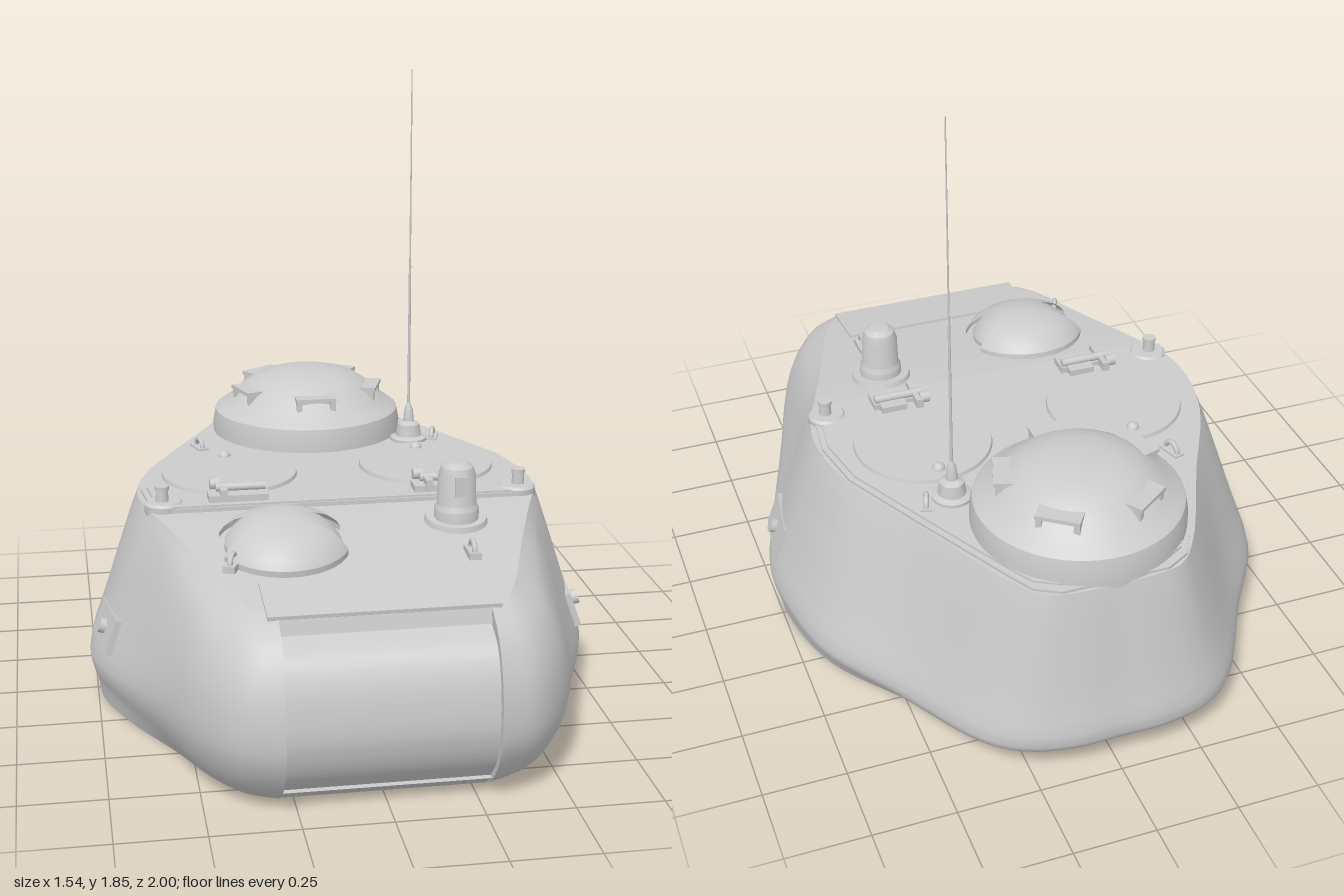
import * as THREE from 'three';
import { toCreasedNormals } from 'three/addons/utils/BufferGeometryUtils.js';

const mat = new THREE.MeshStandardMaterial({ color: 0xcccccc });
const V = (x, y, z) => new THREE.Vector3(x, y, z);
const roofY = (z) => (z < 0.18 ? 0.622 : 0.622 - (z - 0.18) * 0.13);

function add(parent, name, geo, x = 0, y = 0, z = 0, rx = 0, ry = 0, rz = 0) {
  const m = new THREE.Mesh(geo, mat);
  m.name = name;
  m.position.set(x, y, z);
  m.rotation.set(rx, ry, rz);
  parent.add(m);
  return m;
}
const box = (w, h, d) => new THREE.BoxGeometry(w, h, d);
const cyl = (r1, r2, h, n = 24) => new THREE.CylinderGeometry(r1, r2, h, n);
const lathe = (pts, n = 48, start = 0, len = Math.PI * 2) =>
  toCreasedNormals(new THREE.LatheGeometry(pts.map((p) => new THREE.Vector2(...p)), n, start, len), 0.5);

// Half outline from rear to front: bottom x,z, belt x,z, roof x,z
const stations = [
  [0, -0.8, 0, -1, 0, -0.92], [0.12, -0.8, 0.14, -1, 0.1, -0.92],
  [0.22, -0.78, 0.28, -0.965, 0.2, -0.9], [0.34, -0.72, 0.38, -0.89, 0.27, -0.82],
  [0.52, -0.5, 0.55, -0.61, 0.43, -0.5], [0.67, -0.28, 0.71, -0.35, 0.57, -0.22],
  [0.735, -0.05, 0.765, -0.06, 0.61, -0.03], [0.735, 0.08, 0.765, 0.08, 0.6, 0.1],
  [0.66, 0.28, 0.7, 0.3, 0.53, 0.3], [0.55, 0.48, 0.61, 0.55, 0.46, 0.5],
  [0.45, 0.68, 0.51, 0.82, 0.4, 0.68], [0.37, 0.78, 0.41, 0.95, 0.35, 0.79],
  [0.29, 0.82, 0.29, 1, 0.29, 0.84],
];
// Wall profile as outward share and height, for the sides and for the nose
const sideProfile = [[0, 0], [0.4, 0.06], [0.85, 0.1], [1, 0.14], [0.72, 0.28], [0.15, 0.56], [0, 0]];
const noseProfile = [[0, 0], [0.55, 0.07], [0.92, 0.17], [1, 0.26], [0.9, 0.38], [0.56, 0.48], [0, 0]];

function hullGeometry() {
  const levels = 18, steps = 60;
  const walls = stations.map(([bx, bz, mx, mz, tx, tz]) => {
    const w = THREE.MathUtils.smoothstep(mz, 0.1, 0.92);
    const pts = sideProfile.map((s, j) => {
      const u = THREE.MathUtils.lerp(s[0], noseProfile[j][0], w);
      let y = THREE.MathUtils.lerp(s[1], noseProfile[j][1], w);
      if (j === 0) y = 0.02 * THREE.MathUtils.smoothstep(-bz, 0.25, 0.8);
      if (j === 6) y = roofY(tz);
      const [ex, ez] = j < 3 ? [bx, bz] : [tx, tz];
      return V(ex + (mx - ex) * u, y, ez + (mz - ez) * u);
    });
    return new THREE.CatmullRomCurve3(pts).getPoints(levels);
  });
  // Smooth each level along the outline
  const half = Array.from({ length: steps + 1 }, () => []);
  for (let j = 0; j <= levels; j++) {
    const row = new THREE.CatmullRomCurve3(walls.map((p) => p[j])).getPoints(steps);
    row.forEach((p, i) => half[i].push(p));
  }
  // Inner cheek walls beside the front opening
  half.push(half[steps].map((p) => V(p.x, p.y, p.z - 0.08)));
  const mirrored = half.slice(1).reverse().map((c) => c.map((p) => V(-p.x, p.y, p.z)));
  const cols = [...mirrored, ...half];
  const pos = [], idx = [], n = levels + 1, last = cols.length - 1;
  cols.forEach((c) => c.forEach((p) => pos.push(p.x, p.y, p.z)));
  for (let i = 0; i < last; i++) for (let j = 0; j < levels; j++) {
    const a = i * n + j, b = a + n;
    idx.push(a, a + 1, b, b, a + 1, b + 1);
  }
  // Roof and floor joined across the centre line
  for (let k = 1; k <= steps; k++) {
    for (const j of [0, levels]) {
      const l = k * n + j, l2 = (k + 1) * n + j;
      const r = (last - k) * n + j, r2 = (last - k - 1) * n + j;
      if (j) idx.push(l, r, r2, l, r2, l2);
      else idx.push(l, r2, r, l, l2, r2);
    }
  }
  const g = new THREE.BufferGeometry();
  g.setAttribute('position', new THREE.Float32BufferAttribute(pos, 3));
  g.setIndex(idx);
  return toCreasedNormals(g, 0.5);
}

// Curved front block set back between the cheeks
function mantletGeometry() {
  const s = new THREE.Shape();
  s.moveTo(0.6, 0.002);
  s.lineTo(0.82, 0.002);
  s.lineTo(0.89, 0.05);
  s.lineTo(0.87, 0.05);
  s.splineThru([[0.93, 0.11], [0.965, 0.18], [0.978, 0.26], [0.963, 0.37], [0.92, 0.45], [0.84, 0.49]]
    .map((p) => new THREE.Vector2(...p)));
  s.lineTo(0.855, 0.49);
  s.lineTo(0.845, 0.532);
  s.lineTo(0.6, 0.532);
  const g = new THREE.ExtrudeGeometry(s, { depth: 0.58, bevelEnabled: false, curveSegments: 24 });
  g.translate(0, 0, -0.29).rotateY(-Math.PI / 2);
  return toCreasedNormals(g, 0.4);
}

// Thin roof plate following the rear outline
function plateGeometry(k, depth) {
  const right = [[0.16, -0.91], [0.23, -0.87], [0.27, -0.8], [0.43, -0.49], [0.565, -0.22], [0.6, -0.04], [0.585, 0.1], [0.54, 0.18]];
  const all = [...right, ...right.map(([x, z]) => [-x, z]).reverse()];
  const s = new THREE.Shape(all.map(([x, z]) => new THREE.Vector2(x * k, -z * k)));
  return new THREE.ExtrudeGeometry(s, { depth, bevelEnabled: false }).rotateX(-Math.PI / 2);
}

export function createModel() {
  const model = new THREE.Group();
  model.name = 'turret';
  add(model, 'hull', hullGeometry());
  add(model, 'mantlet', mantletGeometry());
  add(model, 'roofPlate', plateGeometry(1, 0.015), 0, 0.615, 0);
  add(model, 'roofPlateInset', plateGeometry(0.97, 0.021), 0, 0.615, 0);
  add(model, 'roofFrontStrip', box(0.64, 0.012, 0.2), 0, 0.55, 0.745, 0.13);

  // Commander's cupola with five vision blocks
  const cupola = new THREE.Group();
  cupola.name = 'cupola';
  cupola.position.set(-0.005, 0, -0.61);
  model.add(cupola);
  add(cupola, 'cupolaDrum', lathe([[0.313, 0.61], [0.313, 0.67], [0.305, 0.71], [0.285, 0.725],
    [0.255, 0.745], [0.22, 0.782], [0.17, 0.815], [0.11, 0.834], [0.05, 0.84], [0, 0.841]], 64));
  for (let i = 0; i < 5; i++) {
    const g = new THREE.Group();
    g.name = 'visionBlock';
    g.rotation.y = (i * Math.PI * 2) / 5;
    cupola.add(g);
    add(g, 'visionBlockTop', box(0.13, 0.012, 0.09), 0, 0.79, 0.2);
    for (const s of [-1, 1]) add(g, 'visionBlockCheek', box(0.018, 0.055, 0.08), s * 0.055, 0.762, 0.2);
    add(g, 'visionBlockGlass', box(0.1, 0.05, 0.06), 0, 0.762, 0.195);
  }

  // Round hatches with hinges
  for (const x of [-0.318, 0.306]) {
    const hatch = new THREE.Group();
    hatch.name = 'hatch';
    hatch.position.set(x, 0.636, -0.12);
    model.add(hatch);
    add(hatch, 'hatchLid', cyl(0.208, 0.212, 0.014, 48), 0, 0.004, 0);
    add(hatch, 'hatchKnob', new THREE.SphereGeometry(0.02, 16, 10), 0, 0.009, -0.155);
    add(hatch, 'hingeBase', box(0.18, 0.02, 0.07), 0, 0.012, 0.245);
    add(hatch, 'hingeArm', box(0.022, 0.03, 0.12), -0.045, 0.025, 0.225);
    add(hatch, 'hingeLatch', box(0.08, 0.025, 0.035), 0.035, 0.018, 0.19);
    add(hatch, 'hingePin', cyl(0.013, 0.013, 0.15, 12), 0.01, 0.032, 0.225, 0, 0, Math.PI / 2);
    add(hatch, 'hingeBolt', cyl(0.018, 0.018, 0.03, 12), -0.065, 0.033, 0.19, 0, 0, Math.PI / 2);
  }

  // Domed ventilator, rim cut away at the sides
  const vent = new THREE.Group();
  vent.name = 'ventilator';
  vent.position.set(-0.222, 0.588, 0.43);
  vent.rotation.x = 0.12;
  model.add(vent);
  const dome = (r) => [[r, -0.015], [r, 0.018], [r * 0.92, 0.04], [r * 0.75, 0.066], [r * 0.5, 0.086], [r * 0.25, 0.095], [0, 0.098]];
  add(vent, 'ventDome', lathe(dome(0.168)));
  for (const a of [0, Math.PI]) {
    const rim = add(vent, 'ventRim', lathe(dome(0.192), 32, a - 1.17, 2.34));
    rim.material = mat.clone();
    rim.material.side = THREE.DoubleSide;
  }

  // Sight head
  add(model, 'sightBase', cyl(0.09, 0.098, 0.03, 32), 0.306, 0.603, 0.325, 0.1);
  add(model, 'sightHead', lathe([[0.066, 0.6], [0.066, 0.645], [0.058, 0.66], [0.056, 0.745],
    [0.047, 0.772], [0.03, 0.784], [0, 0.787]], 32), 0.306, 0, 0.33);
  add(model, 'sightWindow', box(0.036, 0.06, 0.02), 0.306, 0.725, 0.381);

  // Aerial
  add(model, 'aerialBase', lathe([[0.06, 0.63], [0.06, 0.645], [0.042, 0.652], [0.036, 0.69], [0.018, 0.7],
    [0.014, 0.74], [0.006, 0.76], [0, 0.76]], 24), 0.308, 0, -0.405);
  add(model, 'aerialLowerRod', cyl(0.004, 0.005, 0.5, 8), 0.308, 0.97, -0.405);
  add(model, 'aerialUpperRod', cyl(0.002, 0.003, 0.65, 8), 0.308, 1.525, -0.405);

  // Lifting eyes
  for (const [x, z, a] of [[-0.385, -0.415, 0.3], [0.39, -0.415, -0.3], [-0.38, 0.55, -0.4], [0.305, 0.55, 0]]) {
    const g = new THREE.Group();
    g.name = 'liftingEye';
    g.position.set(x, roofY(z), z);
    g.rotation.y = a + Math.PI / 2;
    model.add(g);
    add(g, 'eyeFoot', box(0.08, 0.02, 0.035), 0, 0.01, 0);
    add(g, 'eyeLoop', new THREE.TorusGeometry(0.026, 0.008, 8, 16, Math.PI), 0, 0.018, 0);
  }

  // Roof corner mounts and side ports
  for (const s of [-1, 1]) {
    add(model, 'mountSwell', lathe([[0, 0.55], [0.04, 0.565], [0.058, 0.6], [0.058, 0.634], [0.05, 0.642], [0, 0.642]], 24), s * 0.54, 0, 0.125);
    add(model, 'mountPost', cyl(0.017, 0.02, 0.05, 16), s * 0.545, 0.66, 0.125);
    add(model, 'mountCap', cyl(0.021, 0.021, 0.012, 16), s * 0.545, 0.682, 0.125);
    const port = new THREE.Group();
    port.name = 'sidePort';
    port.position.set(s * 0.705, 0.245, 0.12);
    port.rotation.set(0, s * -0.14, s * 0.35);
    model.add(port);
    add(port, 'portPad', box(0.05, 0.11, 0.2), 0, 0, 0);
    add(port, 'portPlug', cyl(0.022, 0.024, 0.025, 16), s * 0.032, 0, 0, 0, 0, Math.PI / 2);
  }
  return model;
}
